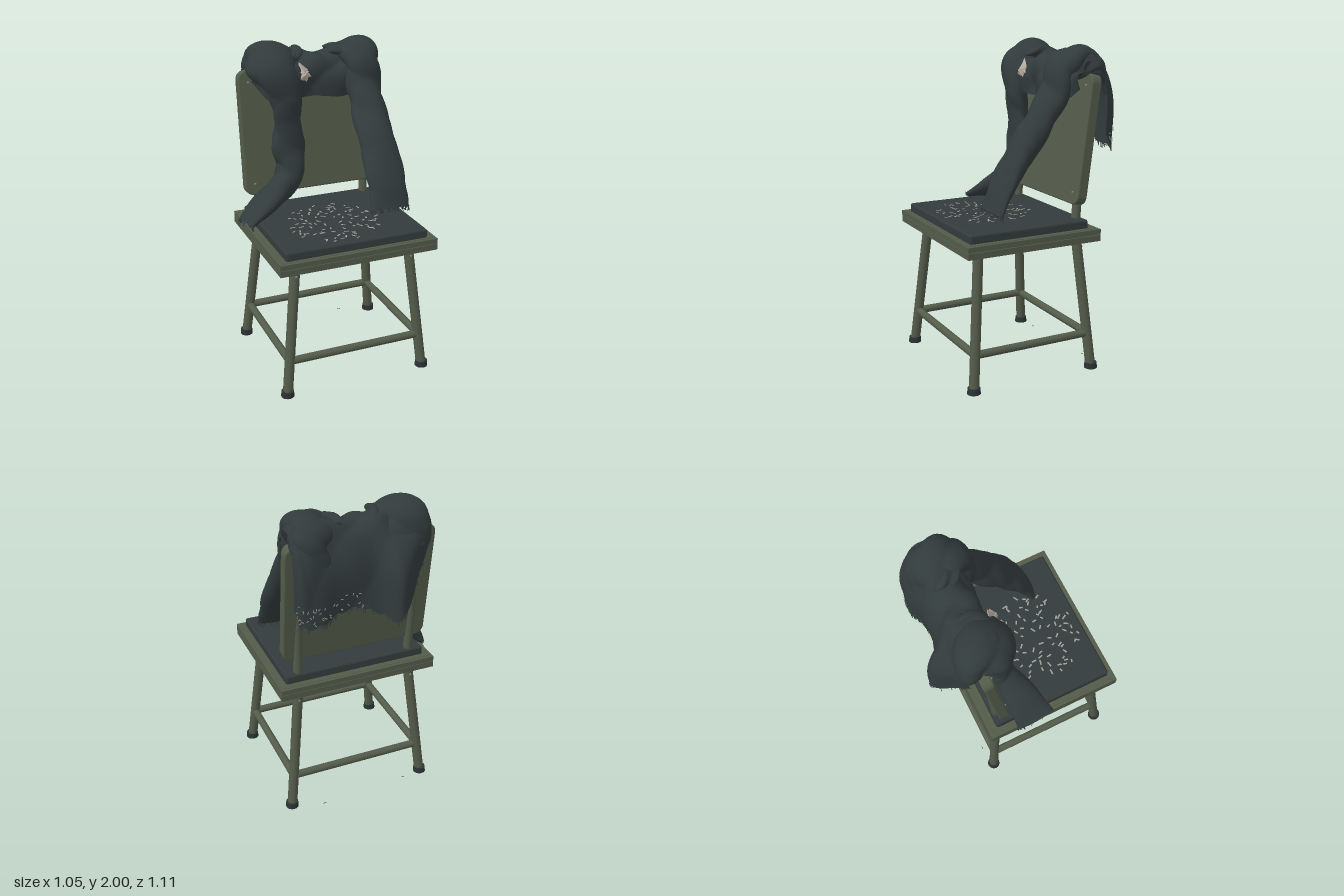
import * as THREE from 'three';
import { mergeGeometries } from 'three/addons/utils/BufferGeometryUtils.js';
import { RoundedBoxGeometry } from 'three/addons/geometries/RoundedBoxGeometry.js';

const paint = (name, color, side = THREE.FrontSide) => {
  const m = new THREE.MeshStandardMaterial({ color, side });
  m.name = name;
  return m;
};

let seed = 7;
const rand = () => (seed = (seed * 16807) % 2147483647) / 2147483647;

// Smooth interpolation through rows of numbers, t in 0..1
function track(rows) {
  const times = rows.map((_, i) => i / (rows.length - 1));
  const curve = new THREE.CubicInterpolant(times, rows.flat(), rows[0].length, new Array(rows[0].length));
  return t => Array.from(curve.evaluate(Math.min(t, 0.99999)));
}

// Grid surface from fn(u, v) -> [x, y, z]; closed wraps the u direction
function surface(fn, nu, nv, closed) {
  const pos = [], idx = [], cols = closed ? nu : nu + 1;
  for (let j = 0; j <= nv; j++) for (let i = 0; i < cols; i++) pos.push(...fn(i / nu, j / nv));
  for (let j = 0; j < nv; j++) for (let i = 0; i < nu; i++) {
    const k = (i + 1) % cols, a = j * cols + i, b = j * cols + k;
    idx.push(a, b, a + cols, b, b + cols, a + cols);
  }
  const g = new THREE.BufferGeometry();
  g.setAttribute('position', new THREE.Float32BufferAttribute(pos, 3));
  g.setIndex(idx);
  g.computeVertexNormals();
  return g;
}

// Flattened tube; rows are x, y, z, half width, half depth, turn of the width axis
function sleeveShape(rows, phase) {
  const at = track(rows);
  return (u, v) => {
    const [x, y, z, a, b, turn] = at(v);
    const p = at(Math.max(0, v - 0.03)), q = at(Math.min(1, v + 0.03));
    const dir = new THREE.Vector3(q[0] - p[0], q[1] - p[1], q[2] - p[2]).normalize();
    const wide = new THREE.Vector3(Math.cos(turn), 0, Math.sin(turn));
    wide.addScaledVector(dir, -wide.dot(dir)).normalize();
    const deep = dir.clone().cross(wide);
    const th = u * Math.PI * 2;
    const fold = 1 + (1 - 0.7 * v) * (0.08 * Math.sin(3 * th + 13 * v + phase)
      + 0.2 * (Math.abs(Math.sin(th + 19 * v + phase)) - 0.6)
      + 0.1 * (Math.abs(Math.sin(1.5 * Math.sin(th) + 24 * v)) - 0.6));
    const c = new THREE.Vector3(x, y, z)
      .addScaledVector(wide, Math.cos(th) * a * fold)
      .addScaledVector(deep, Math.sin(th) * b * fold);
    return [c.x, c.y, c.z];
  };
}

export function createModel() {
  const model = new THREE.Group();
  const green = paint('olive frame', 0x535b4a);
  const dark = paint('dark seat pad', 0x343b3c);
  const rubber = paint('black rubber', 0x2c3335);
  const cloth = paint('slate cloth', 0x323b3c, THREE.DoubleSide);
  const cream = paint('pale lining', 0xb5a99e, THREE.DoubleSide);
  const grey = paint('grey scraps', 0xa09c94, THREE.DoubleSide);
  const metal = paint('screw metal', 0x7b8174);

  const add = (name, geo, mat, x = 0, y = 0, z = 0) => {
    const m = new THREE.Mesh(geo, mat);
    m.name = name;
    m.position.set(x, y, z);
    model.add(m);
    return m;
  };
  const rod = (name, p, q, r, mat) => {
    const a = new THREE.Vector3(...p), b = new THREE.Vector3(...q), d = b.clone().sub(a);
    const m = add(name, new THREE.CylinderGeometry(r, r, d.length(), 20), mat);
    m.position.copy(a).add(b).multiplyScalar(0.5);
    m.quaternion.setFromUnitVectors(new THREE.Vector3(0, 1, 0), d.normalize());
  };

  // Seat: two frame layers parted by a groove, with a low top plate
  const cx = 0.023, cz = 0.113;
  add('seatFrameLower', new THREE.BoxGeometry(1.01, 0.038, 0.88), green, cx, 0.849, cz);
  add('seatFrameUpper', new THREE.BoxGeometry(1.01, 0.032, 0.88), green, cx, 0.887, cz);
  add('seatFrameCore', new THREE.BoxGeometry(0.97, 0.07, 0.84), green, cx, 0.87, cz);
  add('seatPad', new RoundedBoxGeometry(0.91, 0.08, 0.785, 3, 0.014), dark, cx, 0.917, 0.123);
  add('seatUnderside', new THREE.BoxGeometry(0.66, 0.04, 0.5), dark, cx, 0.822, 0.1);

  // Splayed legs, feet and stretchers
  const corners = [[-1, 1], [1, 1], [1, -1], [-1, -1]];
  const legPoint = ([sx, sz], y) => {
    const k = y / 0.85;
    return [cx + sx * (0.457 - 0.09 * k), y, sz > 0 ? 0.505 - 0.08 * k : -0.305 + 0.07 * k];
  };
  corners.forEach((c, i) => {
    rod('leg', legPoint(c, 0.02), legPoint(c, 0.84), 0.031, green);
    const [fx, , fz] = legPoint(c, 0);
    add('foot', new THREE.CylinderGeometry(0.038, 0.041, 0.036, 20), rubber, fx, 0.018, fz);
    rod('stretcher', legPoint(c, 0.225), legPoint(corners[(i + 1) % 4], 0.225), 0.024, green);
    const [lx, , lz] = legPoint(c, 0.77);
    add('legScrew', new THREE.SphereGeometry(0.008, 8, 6), metal, lx, 0.77, lz + c[1] * 0.03);
  });

  // Backrest panel, leaning back
  const w = 0.455, h = 0.385, r = 0.05, panel = new THREE.Shape();
  panel.moveTo(-w + r, -h).lineTo(w - r, -h).absarc(w - r, -h + r, r, -Math.PI / 2, 0)
    .absarc(w - r, h - r, r, 0, Math.PI / 2).absarc(-w + r, h - r, r, Math.PI / 2, Math.PI)
    .absarc(-w + r, -h + r, r, Math.PI, Math.PI * 1.5);
  const panelGeo = new THREE.ExtrudeGeometry(panel, {
    depth: 0.05, bevelThickness: 0.008, bevelSize: 0.008, bevelSegments: 2, curveSegments: 8 });
  panelGeo.translate(0, 0, -0.025);
  const back = add('backrest', panelGeo, green, cx, 1.437, -0.263);
  back.rotation.x = -0.13;
  for (const sx of [-1, 1]) {
    // Posts sink into the panel as it leans away
    rod('backrestPost', [cx + sx * 0.367, 0.86, -0.228], [cx + sx * 0.367, 1.6, -0.278], 0.028, green);
    for (const sy of [-1, 1]) {
      const s = new THREE.Mesh(new THREE.SphereGeometry(0.008, 8, 6), metal);
      s.name = 'backrestScrew';
      s.position.set(sx * 0.4, sy * 0.32, 0.033);
      back.add(s);
    }
  }

  // Jacket body: columns of x, top y, front hem y and z, back hem y and z
  const column = track([
    [-0.38, 1.86, 1.78, -0.20, 1.74, -0.37], [-0.29, 1.95, 1.67, -0.14, 1.58, -0.44],
    [-0.14, 1.94, 1.67, -0.14, 1.36, -0.54], [-0.04, 1.91, 1.67, -0.16, 1.38, -0.46],
    [0.06, 1.90, 1.66, -0.17, 1.42, -0.425], [0.20, 1.91, 1.65, -0.16, 1.42, -0.43],
    [0.33, 1.95, 1.67, -0.16, 1.38, -0.46], [0.43, 1.92, 1.69, -0.18, 1.38, -0.45],
    [0.46, 1.87, 1.74, -0.22, 1.46, -0.38]]);
  const body = (u, v) => {
    const [x, top, fy, fz, by, bz] = column(u);
    const [y, z] = track([
      [fy, fz], [fy * 0.5 + top * 0.5, fz + 0.01], [top - 0.04, fz * 0.65 - 0.09], [top, -0.29],
      [top - 0.06, -0.37], [top * 0.5 + by * 0.5, bz * 0.75 - 0.105], [by, bz]])(v);
    const fold = 0.008 * Math.sin(23 * u + 9 * v) + 0.018 * Math.abs(Math.sin(9 * u - 8 * v))
      + 0.012 * Math.abs(Math.sin(14 * u + 5 * v));
    const ragged = v > 0.98 ? 0.008 * Math.sin(60 * u) : 0;
    return [x, y + fold * Math.sin(v * Math.PI) + ragged, z + fold * (v < 0.5 ? 1 : -0.6)];
  };
  add('jacketBody', surface(body, 72, 54, false), cloth);

  // Sleeves hanging over the front
  const rightSleeve = sleeveShape([
    [-0.23, 1.74, -0.4, 0.12, 0.05, 0], [-0.24, 1.88, -0.33, 0.155, 0.09, 0],
    [-0.23, 1.86, -0.19, 0.155, 0.1, 0], [-0.185, 1.69, -0.13, 0.1, 0.07, 0],
    [-0.175, 1.54, -0.14, 0.085, 0.055, 0], [-0.175, 1.37, -0.14, 0.105, 0.055, 0],
    [-0.165, 1.24, -0.12, 0.09, 0.062, 0.2], [-0.22, 1.13, -0.1, 0.085, 0.075, 0.8],
    [-0.36, 1.04, -0.06, 0.105, 0.06, 1.4], [-0.495, 0.935, -0.035, 0.125, 0.035, 1.8]], 0.6);
  const leftSleeve = sleeveShape([
    [0.33, 1.7, -0.39, 0.11, 0.045, 0], [0.33, 1.87, -0.33, 0.13, 0.085, 0],
    [0.325, 1.87, -0.19, 0.12, 0.1, 0], [0.325, 1.69, -0.1, 0.11, 0.08, 0],
    [0.33, 1.46, 0.06, 0.115, 0.08, 0], [0.33, 1.22, 0.215, 0.125, 0.058, 0],
    [0.325, 1.035, 0.305, 0.125, 0.032, 0]], 2.1);
  add('rightSleeve', surface(rightSleeve, 40, 90, true), cloth);
  add('leftSleeve', surface(leftSleeve, 40, 90, true), cloth);

  // Collar folds beside the neck
  for (const [x, y, z, lean] of [[-0.08, 1.92, -0.25, -0.4], [0.19, 1.915, -0.25, 0.4]]) {
    const fold = (u, v) => {
      const th = u * Math.PI * 2, k = Math.sin(Math.PI * (0.08 + 0.84 * v));
      const rr = k * (0.05 + 0.012 * Math.sin(3 * th + 9 * v));
      return [rr * Math.cos(th), rr * Math.sin(th) * 0.8, (v - 0.5) * 0.2];
    };
    add('collarFold', surface(fold, 18, 12, true), cloth, x, y, z).rotation.set(0.1, lean, 0);
  }

  // Frayed threads on the cuffs and hem
  const threads = [];
  const fray = (shape, edge, count) => {
    for (let i = 0; i < count; i++) {
      const len = 0.012 + 0.025 * rand(), g = new THREE.BoxGeometry(0.003, len, 0.003);
      g.rotateZ((rand() - 0.5) * 0.9);
      const [x, y, z] = shape(edge ? 0.08 + 0.84 * rand() : rand(), 1);
      threads.push(g.translate(x, y - len * 0.35, z));
    }
  };
  fray(rightSleeve, false, 24);
  fray(leftSleeve, false, 40);
  fray(body, true, 50);
  for (const [x, z] of [[0.28, -0.37], [-0.3, -0.33]])
    threads.push(new THREE.BoxGeometry(0.02, 0.002, 0.003).translate(x, 0.002, z));
  add('frayedThreads', mergeGeometries(threads), cloth);

  // Pale broken stitching above the back hem
  const stitches = [];
  for (let i = 0; i < 40; i++) {
    const [x, y, z] = body(0.5 + 0.47 * rand(), 0.93 + 0.06 * rand());
    stitches.push(new THREE.PlaneGeometry(0.006, 0.016).rotateZ(rand() * 3).translate(x, y, z - 0.006));
  }
  add('hemStitching', mergeGeometries(stitches), grey);

  // Torn lining scrap on the chest
  const scrap = mergeGeometries([0.3, 1.2, 2.2].map((turn, i) => new THREE.OctahedronGeometry(0.052)
    .scale(0.7, 1.25 - 0.2 * i, 0.45).rotateZ(turn).translate(0, -0.012 * i, 0.005 * i)));
  add('liningScrap', scrap, cream, -0.075, 1.83, -0.125).rotation.x = -0.3;

  // Flat scraps scattered over a round patch of the seat
  const bits = [];
  for (let i = 0; i < 92; i++) {
    const a = i * 2.4 + rand() * 0.5, d = 0.03 + 0.26 * Math.sqrt((i + rand()) / 92);
    bits.push(new THREE.PlaneGeometry(0.018 + 0.018 * rand(), 0.01).rotateX(-Math.PI / 2)
      .rotateY(rand() * Math.PI).translate(Math.cos(a) * d - 0.01, 0.961, 0.2 + Math.sin(a) * d));
  }
  add('seatScraps', mergeGeometries(bits), grey);

  return model;
}
